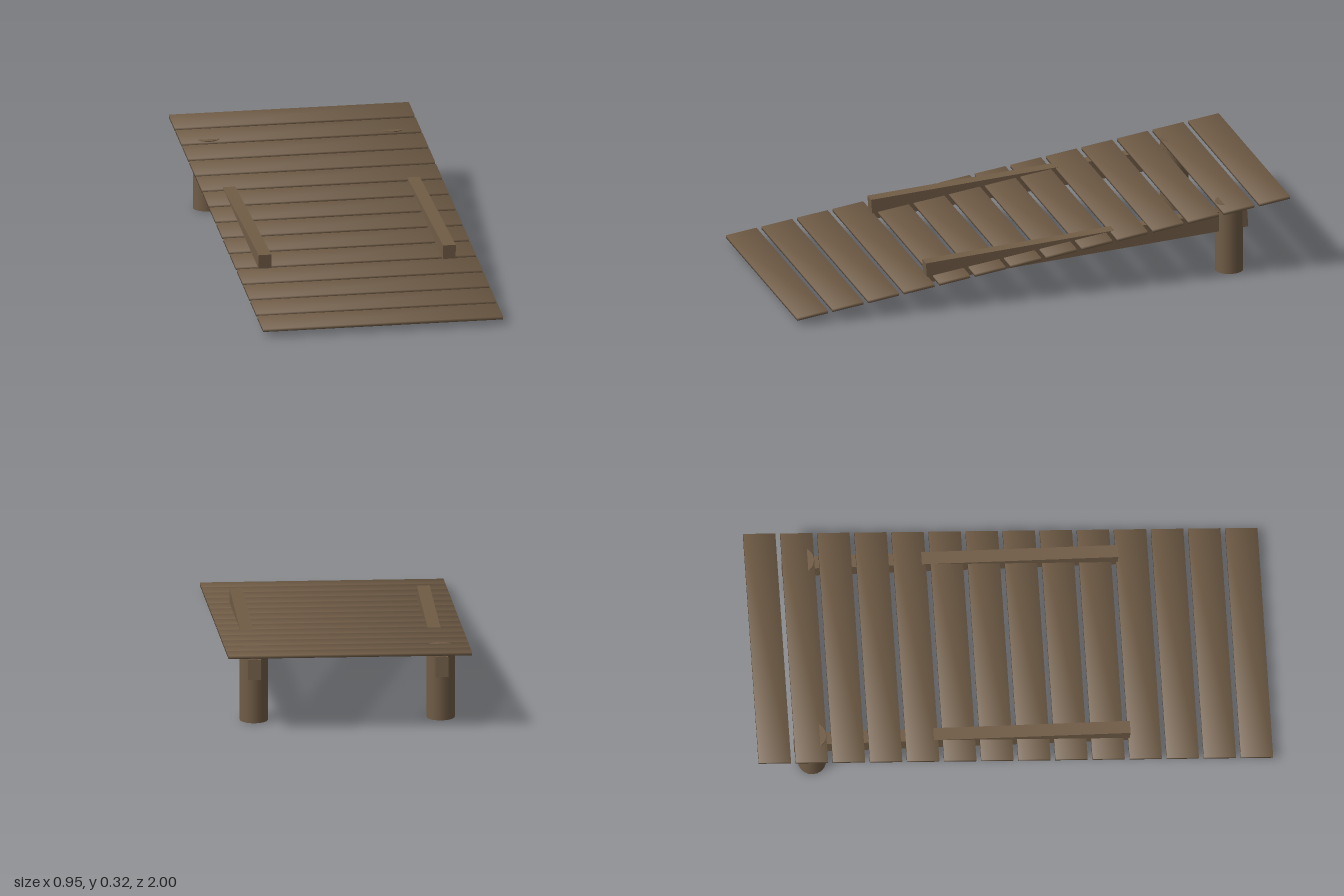
import * as THREE from 'three';

const wood = new THREE.MeshStandardMaterial({ color: 0x705c46 });
wood.name = 'weathered brown wood';

// Thin board whose corner normals lean outward, for softly worn edges
function softBoard(w, h, d, lean) {
  const geo = new THREE.BoxGeometry(w, h, d);
  const pos = geo.attributes.position;
  const n = new THREE.Vector3();
  for (let i = 0; i < pos.count; i++) {
    n.set(Math.sign(pos.getX(i)) * lean, Math.sign(pos.getY(i)), Math.sign(pos.getZ(i)) * lean).normalize();
    geo.attributes.normal.setXYZ(i, n.x, n.y, n.z);
  }
  return geo;
}

function addPart(parent, name, geo, x, y, z) {
  const mesh = new THREE.Mesh(geo, wood);
  mesh.name = name;
  mesh.position.set(x, y, z);
  parent.add(mesh);
  return mesh;
}

export function createModel() {
  const model = new THREE.Group();
  model.name = 'woodenRamp';

  // Sloping deck of separate planks, low at the front
  const deck = new THREE.Group();
  deck.name = 'deck';
  deck.position.y = 0.171;
  deck.rotation.x = 0.142;
  model.add(deck);
  const count = 14, pitch = 0.1455;
  const plankGeo = softBoard(0.946, 0.012, 0.126, 0.4);
  for (let i = 0; i < count; i++) {
    addPart(deck, 'plank' + (i + 1), plankGeo, 0, 0, (i - (count - 1) / 2) * pitch);
  }

  // Support beam and round post on each side
  const beamGeo = new THREE.BoxGeometry(0.05, 0.08, 1.304);
  const postGeo = new THREE.CylinderGeometry(0.055, 0.055, 0.285, 20);
  for (const [side, s] of [['left', 1], ['right', -1]]) {
    const beam = addPart(model, side + 'Beam', beamGeo, s * 0.3635, 0.174, -0.202);
    beam.rotation.x = 0.069;
    addPart(model, side + 'Post', postGeo, s * 0.3625, 0.1425, -0.785);
  }
  return model;
}
